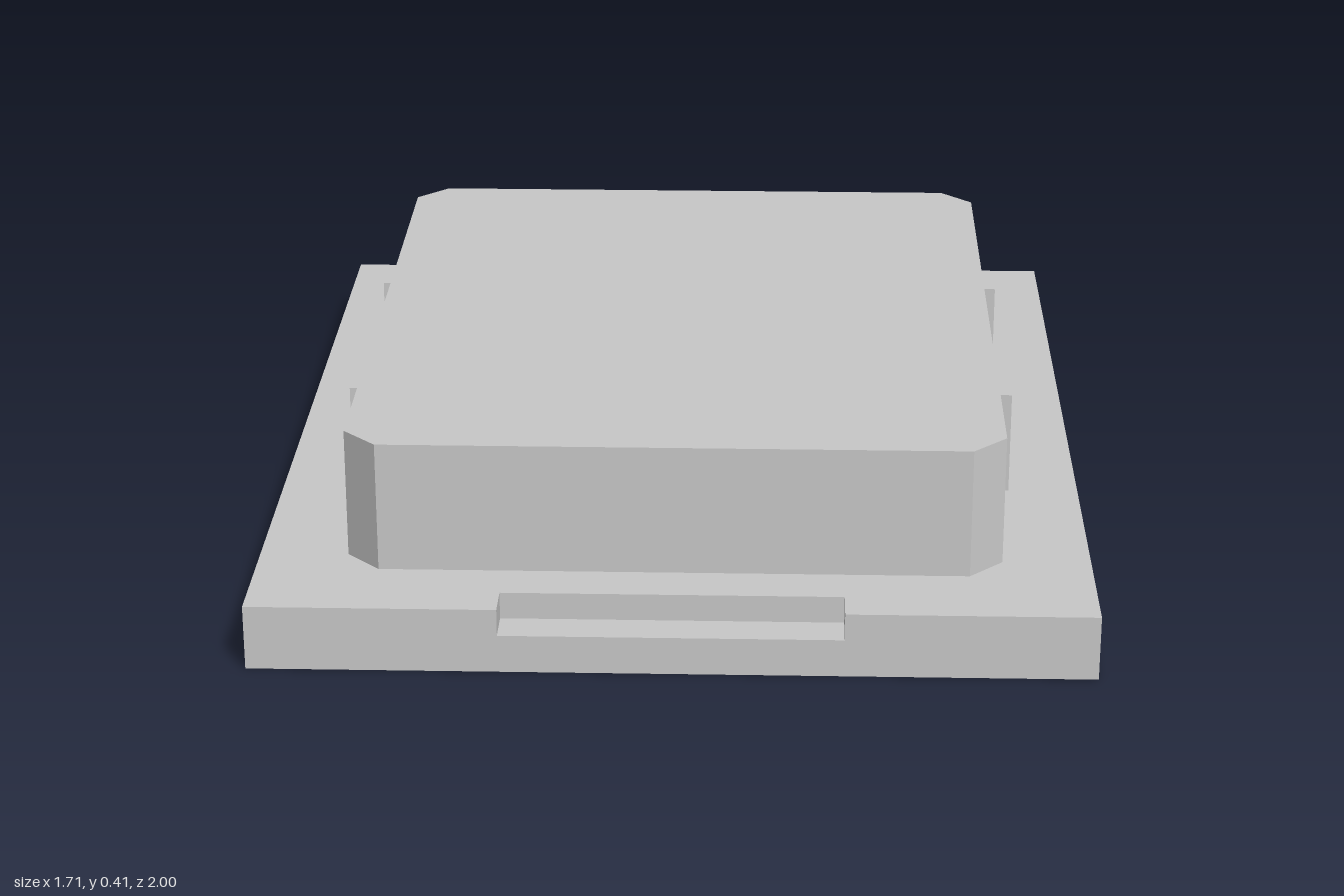
import * as THREE from 'three';

const grey = new THREE.MeshStandardMaterial({ color: 0xc8c8c8 });
grey.name = 'plain grey';

// Plan outline given as [x, z] points, extruded from y0 up to y1
function prism(name, points, y0, y1) {
  const shape = new THREE.Shape(points.map(([x, z]) => new THREE.Vector2(x, -z)));
  const geometry = new THREE.ExtrudeGeometry(shape, { depth: y1 - y0, bevelEnabled: false });
  geometry.rotateX(-Math.PI / 2).translate(0, y0, 0);
  const mesh = new THREE.Mesh(geometry, grey);
  mesh.name = name;
  return mesh;
}

function rect(x0, x1, z0, z1) {
  return [[x0, z0], [x0, z1], [x1, z1], [x1, z0]];
}

export function createModel() {
  const model = new THREE.Group();
  model.name = 'block on base';
  const W = 0.855, notchY = 0.08, baseY = 0.137;

  // Base slab: solid lower layer, upper layer with a finger notch in the front edge
  const base = new THREE.Group();
  base.name = 'base';
  base.add(prism('baseLower', rect(-W, W, -1, 1), 0, notchY));
  base.add(prism('baseUpper', [
    [-W, -1], [-W, 1], [-0.347, 1], [-0.347, 0.92],
    [0.347, 0.92], [0.347, 1], [W, 1], [W, -1],
  ], notchY, baseY));
  model.add(base);

  // Raised block with chamfered vertical corners
  const bx = 0.673, zb = -0.795, zf = 0.815, c = 0.07;
  model.add(prism('raisedBlock', [
    [-bx + c, zb], [-bx, zb + c], [-bx, zf - c], [-bx + c, zf],
    [bx - c, zf], [bx, zf - c], [bx, zb + c], [bx - c, zb],
  ], baseY, 0.413));

  // Two upright ribs on each side
  for (const side of [-1, 1]) {
    for (const z of [-0.313, 0.335]) {
      const x = side * 0.688;
      const name = (side > 0 ? 'left' : 'right') + (z > 0 ? 'Front' : 'Back') + 'Rib';
      model.add(prism(name, rect(x - 0.019, x + 0.019, z - 0.044, z + 0.044), baseY, 0.358));
    }
  }
  return model;
}
